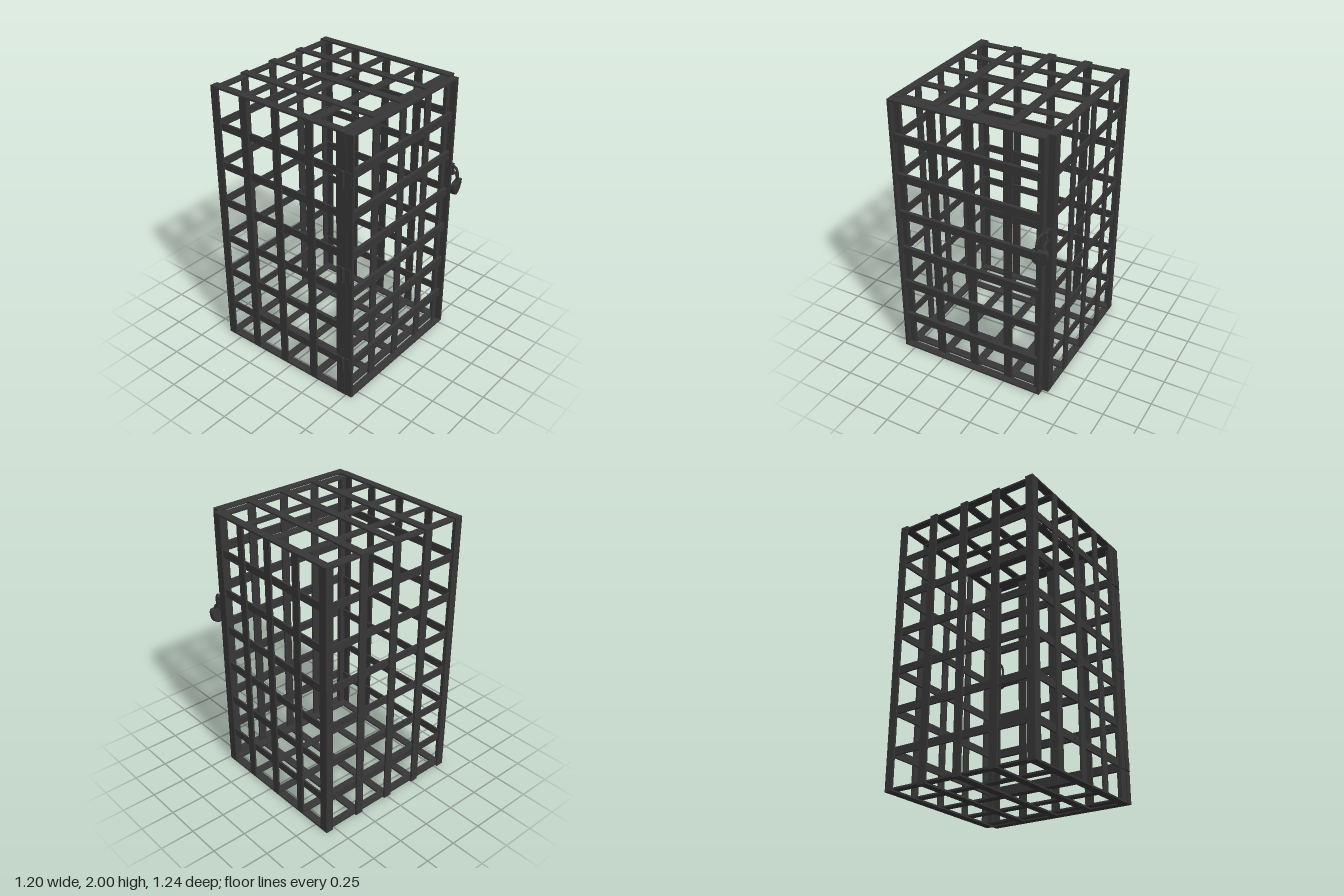
import * as THREE from 'three';

const iron = new THREE.MeshStandardMaterial({ color: 0x363636 });
const T = 0.013; // strip thickness
const W = 0.06;  // strip width

function add(parent, name, geometry) {
  const m = new THREE.Mesh(geometry, iron);
  m.name = name;
  parent.add(m);
  return m;
}

// box given by its low and high limits on each axis
function bar(parent, name, [x0, x1], [y0, y1], [z0, z1]) {
  const m = add(parent, name, new THREE.BoxGeometry(x1 - x0, y1 - y0, z1 - z0));
  m.position.set((x0 + x1) / 2, (y0 + y1) / 2, (z0 + z1) / 2);
  return m;
}

const around = (c, w = W) => [c - w / 2, c + w / 2];
const rowsY = [0.27, 0.56, 0.85, 1.14, 1.43, 1.72];
const colsX = [-0.273, 0, 0.273];
const colsZ = [-0.335, -0.063, 0.21];
const X = 0.577, ZB = -0.617, ZF = 0.488;

function group(parent, name) {
  const g = new THREE.Group();
  g.name = name;
  parent.add(g);
  return g;
}

// range running inward from an outer face on side s
const inward = (face, s, from, to) => (s > 0 ? [face - to, face - from] : [-face + from, -face + to]);

function buildSides(root) {
  for (const s of [1, -1]) {
    const side = group(root, s > 0 ? 'leftSide' : 'rightSide');
    // angle-iron corner posts
    bar(side, 'frontPostSide', inward(X, s, 0, T), [0, 2], [ZF - 0.065, ZF]);
    bar(side, 'frontPostFace', inward(X, s, T, 0.057), [0, 2], [ZF - T, ZF]);
    bar(side, 'backPostSide', inward(X, s, 0, T), [0, 2], [ZB, ZB + 0.063]);
    bar(side, 'backPostFace', inward(X, s, T, 0.057), [0, 2], [ZB, ZB + T]);
    for (const z of colsZ) bar(side, 'sideUpright', inward(X, s, 0, T), [0, 2], around(z));
    for (const y of rowsY) bar(side, 'sideRail', inward(X, s, T, 2 * T), around(y, 0.056), [ZB + T, ZF - T]);
  }
}

function buildBack(root) {
  const back = group(root, 'backPanel');
  for (const x of colsX) bar(back, 'backUpright', around(x), [0, 2], [ZB, ZB + T]);
  for (const y of rowsY) bar(back, 'backRail', [-X + T, X - T], around(y, 0.056), [ZB + T, ZB + 2 * T]);
}

// roof and floor grids: long strips outside, cross strips inside
function buildGrid(root, name, outer, dir) {
  const g = group(root, name);
  const layer = (n) => [outer + dir * T * n, outer + dir * T * (n + 1)].sort((a, b) => a - b);
  for (const x of [-X + 0.03, ...colsX, X - 0.03]) bar(g, 'longStrip', around(x, 0.059), layer(0), [ZB, ZF]);
  for (const z of [-0.58, -0.34, -0.065, 0.21, 0.449]) bar(g, 'crossStrip', [-X + T, X - T], layer(0.8), around(z, 0.058));
}

function buildDoor(root) {
  const door = group(root, 'door');
  const x0 = -0.577, x1 = 0.535, z0 = 0.492, z1 = 0.55, y0 = 0.004, y1 = 1.998;
  // frame legs stand forward of the uprights
  bar(door, 'hingeStile', [x0, x0 + 0.02], [y0, y1], [z0, z1]);
  bar(door, 'lockStile', [x1 - 0.02, x1], [y0, y1], [z0, z1]);
  bar(door, 'topPlate', [x0, x1], [y1 - T, y1], [z0, z1]);
  bar(door, 'bottomPlate', [x0, x1], [y0, y0 + T], [z0, z1]);
  for (const x of [-0.55, -0.286, -0.011, 0.264, 0.503]) {
    bar(door, 'doorUpright', around(x, 0.062), [y0, y1], [z0, z0 + T]);
  }
  for (const y of rowsY) bar(door, 'doorRail', [x0 + 0.02, x1 - 0.02], around(y), [z0 + T, z0 + 3 * T]);
}

function buildHinges(root) {
  for (const y of [0.28, 1.01, 1.7]) {
    const hinge = group(root, 'hinge');
    const pin = add(hinge, 'hingePin', new THREE.CylinderGeometry(0.011, 0.011, 0.105, 12));
    pin.position.set(-0.589, y, 0.485);
    bar(hinge, 'hingeLeaf', [-0.584, -0.575], around(y, 0.1), [0.43, 0.54]);
  }
}

function buildLock(root) {
  const lock = group(root, 'lock');
  // hasp with two staple cheeks
  bar(lock, 'haspPlate', [0.525, 0.572], [1.265, 1.355], [0.486, 0.502]);
  for (const y of [1.275, 1.345]) bar(lock, 'stapleArm', [0.546, 0.562], around(y, 0.018), [0.5, 0.55]);
  bar(lock, 'stapleFront', [0.546, 0.562], [1.266, 1.354], [0.538, 0.552]);

  // shield-shaped padlock body
  const s = new THREE.Shape();
  s.moveTo(-0.042, 0.056);
  s.lineTo(0.042, 0.056);
  s.quadraticCurveTo(0.058, 0.05, 0.058, 0.02);
  s.bezierCurveTo(0.058, -0.02, 0.035, -0.055, 0, -0.057);
  s.bezierCurveTo(-0.035, -0.055, -0.058, -0.02, -0.058, 0.02);
  s.quadraticCurveTo(-0.058, 0.05, -0.042, 0.056);
  const body = group(lock, 'padlock');
  body.position.set(0.538, 1.19, 0.587);
  body.rotation.set(0.12, 0.18, 0);
  const shell = new THREE.ExtrudeGeometry(s, {
    depth: 0.026, bevelSize: 0.005, bevelThickness: 0.006, bevelOffset: -0.005, bevelSegments: 2, curveSegments: 8,
  });
  shell.translate(0, 0, -0.013);
  add(body, 'padlockBody', shell);
  const cover = add(body, 'keyholeCover', new THREE.CylinderGeometry(0.009, 0.009, 0.006, 12));
  cover.rotation.x = Math.PI / 2;
  cover.position.set(0, 0.005, 0.02);

  // shackle hooks back through the staple
  const path = new THREE.CatmullRomCurve3([
    [0.522, 1.225, 0.592], [0.524, 1.285, 0.606], [0.528, 1.335, 0.59], [0.538, 1.346, 0.555],
    [0.55, 1.325, 0.525], [0.558, 1.3, 0.54], [0.56, 1.27, 0.572], [0.56, 1.225, 0.588],
  ].map((p) => new THREE.Vector3(...p)));
  add(lock, 'shackle', new THREE.TubeGeometry(path, 36, 0.009, 8, false));
}

export function createModel() {
  const root = new THREE.Group();
  root.name = 'cage';
  buildSides(root);
  buildBack(root);
  buildGrid(root, 'roof', 2, -1);
  buildGrid(root, 'floor', 0, 1);
  buildDoor(root);
  buildHinges(root);
  buildLock(root);
  return root;
}
